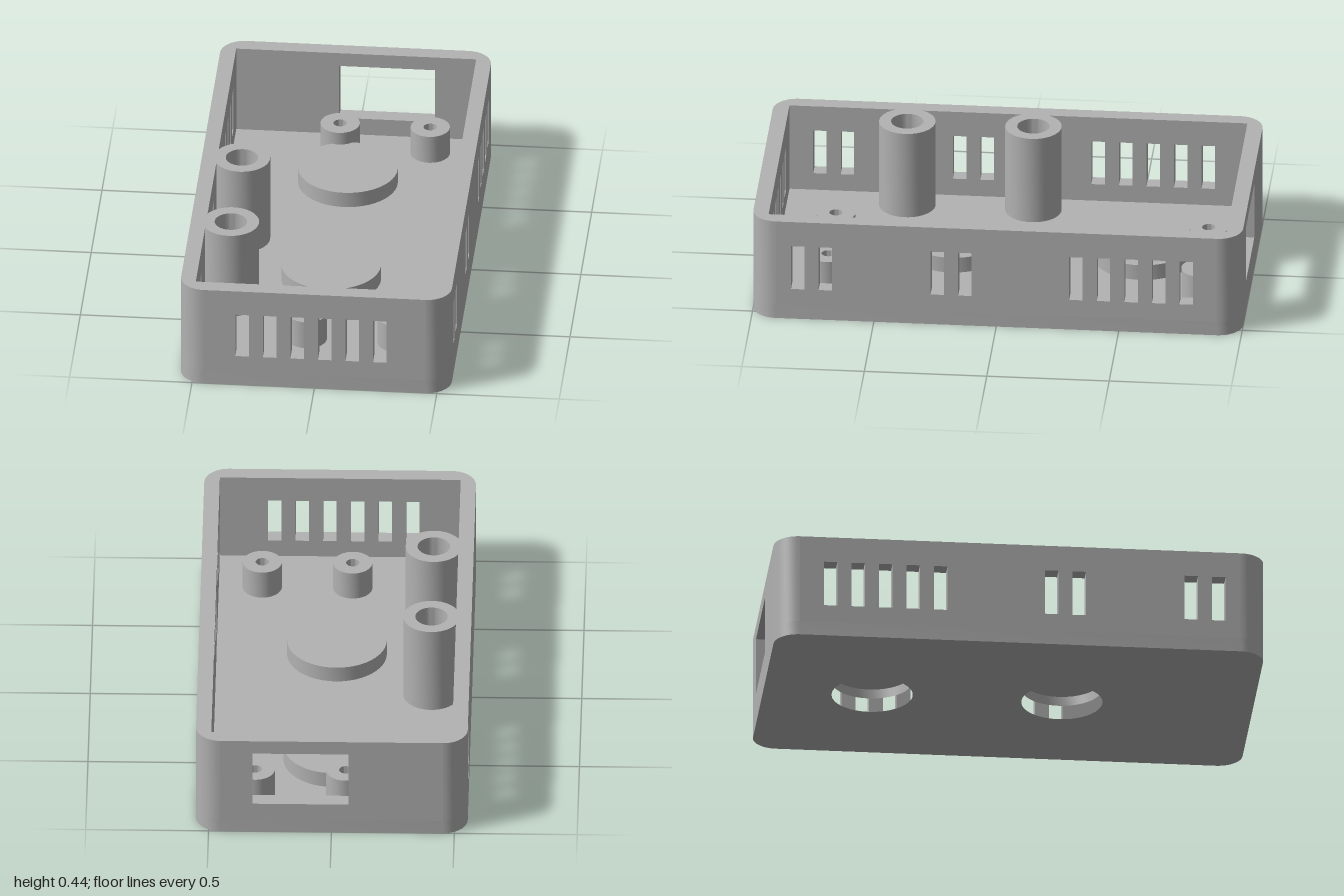
import * as THREE from 'three';
import { toCreasedNormals } from 'three/addons/utils/BufferGeometryUtils.js';

// Overall dimensions
const HX = 0.553, HZ = 1, H = 0.44;     // outer half width, half length, height
const IX = 0.49, IZ = 0.935;            // inner half width and half length
const R = 0.1, FLOOR = 0.06;            // corner radius, floor thickness
const SLOT_W = 0.055, SLOT_Y0 = 0.135, SLOT_Y1 = 0.33, PITCH = 0.1125;

const rectPath = (a, b, c, d) => new THREE.Path([
  new THREE.Vector2(a, b), new THREE.Vector2(c, b),
  new THREE.Vector2(c, d), new THREE.Vector2(a, d),
]);

// Row of upright vent slots, first one starting at u
const slots = (u, count) => Array.from({ length: count }, (_, i) =>
  rectPath(u + i * PITCH, SLOT_Y0, u + i * PITCH + SLOT_W, SLOT_Y1));

// Upright plate with cut-outs, thickness along +z
function plate(half, thickness, holes) {
  const s = new THREE.Shape([
    new THREE.Vector2(-half, FLOOR), new THREE.Vector2(half, FLOOR),
    new THREE.Vector2(half, H), new THREE.Vector2(-half, H),
  ]);
  s.holes.push(...holes);
  return new THREE.ExtrudeGeometry(s, { depth: thickness, bevelEnabled: false });
}

// Points of one rounded outer corner, from the z end to the x side
function cornerArc(sx, sz) {
  const pts = [];
  for (let i = 0; i <= 12; i++) {
    const a = (1 - i / 12) * Math.PI / 2;
    pts.push(new THREE.Vector2(sx * (HX - R + R * Math.cos(a)), sz * (HZ - R + R * Math.sin(a))));
  }
  return pts;
}

// Flat shape extruded upwards from y0 to y1
function slab(shape, y0, y1) {
  const g = new THREE.ExtrudeGeometry(shape, { depth: y1 - y0, bevelEnabled: false, curveSegments: 48 });
  g.rotateX(-Math.PI / 2).translate(0, y0, 0);
  return toCreasedNormals(g, 0.6);
}

function turned(profile) {
  const pts = profile.map(([r, y]) => new THREE.Vector2(r, y));
  return toCreasedNormals(new THREE.LatheGeometry(pts, 48), 0.6);
}

export function createModel() {
  const model = new THREE.Group();
  model.name = 'enclosure';
  const grey = new THREE.MeshStandardMaterial({ color: 0xb2b2b2 });
  grey.name = 'grey plastic';
  const add = (name, geometry, x = 0, y = 0, z = 0) => {
    const m = new THREE.Mesh(geometry, grey);
    m.name = name;
    m.position.set(x, y, z);
    model.add(m);
    return m;
  };

  // Floor with two round pockets open underneath
  const cupZ = [-0.555, 0.22], pocketR = 0.165;
  const base = new THREE.Shape([
    ...cornerArc(1, 1), ...cornerArc(1, -1).reverse(),
    ...cornerArc(-1, -1), ...cornerArc(-1, 1).reverse(),
  ]);
  for (const z of cupZ) {
    base.holes.push(new THREE.Path().absarc(0, -z, pocketR, 0, Math.PI * 2, true));
  }
  add('floor', slab(base, 0, FLOOR));

  // Raised cups closing the pockets
  const cup = turned([[0.203, FLOOR], [0.203, 0.127], [0, 0.127], [0, 0.1], [pocketR, 0.1], [pocketR, FLOOR]]);
  for (const z of cupZ) add('pocketCup', cup, 0, 0, z);

  // Rounded corner posts
  for (const sx of [1, -1]) for (const sz of [1, -1]) {
    const post = new THREE.Shape([
      ...cornerArc(sx, sz),
      new THREE.Vector2(sx * IX, sz * (HZ - R)),
      new THREE.Vector2(sx * IX, sz * IZ),
      new THREE.Vector2(sx * (HX - R), sz * IZ),
    ]);
    add('cornerPost', slab(post, FLOOR, H));
  }

  // Front wall with vents, back wall with connector window
  add('frontWall', plate(HX - R, HZ - IZ, slots(-0.323, 6)), 0, 0, IZ);
  add('backWall', plate(HX - R, HZ - IZ, [rectPath(-0.07, 0.135, 0.322, 0.38)]), 0, 0, -HZ);

  // Side walls; the plate's u axis runs along -z
  const sideSlots = () => [...slots(-0.838, 2), ...slots(-0.268, 2), ...slots(0.298, 5)];
  const side = (name, x0, x1, holes) => {
    add(name, plate(HZ - R, x1 - x0, holes), x0).rotation.y = Math.PI / 2;
  };
  const pillarZ = [-0.07, 0.445];
  const recesses = pillarZ.map(z => rectPath(-z - 0.13, 0.315, -z + 0.13, 0.38));
  side('rightWall', -HX, -IX, sideSlots());
  side('leftWallOuter', IX + 0.03, HX, sideSlots());
  side('leftWallInner', IX, IX + 0.03, [...sideSlots(), ...recesses]);

  // Tall screw pillars merging into the right wall
  const pillar = turned([[0.115, FLOOR], [0.115, H], [0.066, H], [0.066, 0.34], [0.057, 0.34], [0.057, FLOOR]]);
  for (const z of pillarZ) add('screwPillar', pillar, -0.39, 0, z);

  // Short board standoffs
  const standoff = turned([[0.08, FLOOR], [0.08, 0.182], [0.027, 0.182], [0.027, FLOOR]]);
  for (const x of [-0.055, 0.313]) for (const z of [-0.815, 0.707]) add('standoff', standoff, x, 0, z);

  return model;
}
